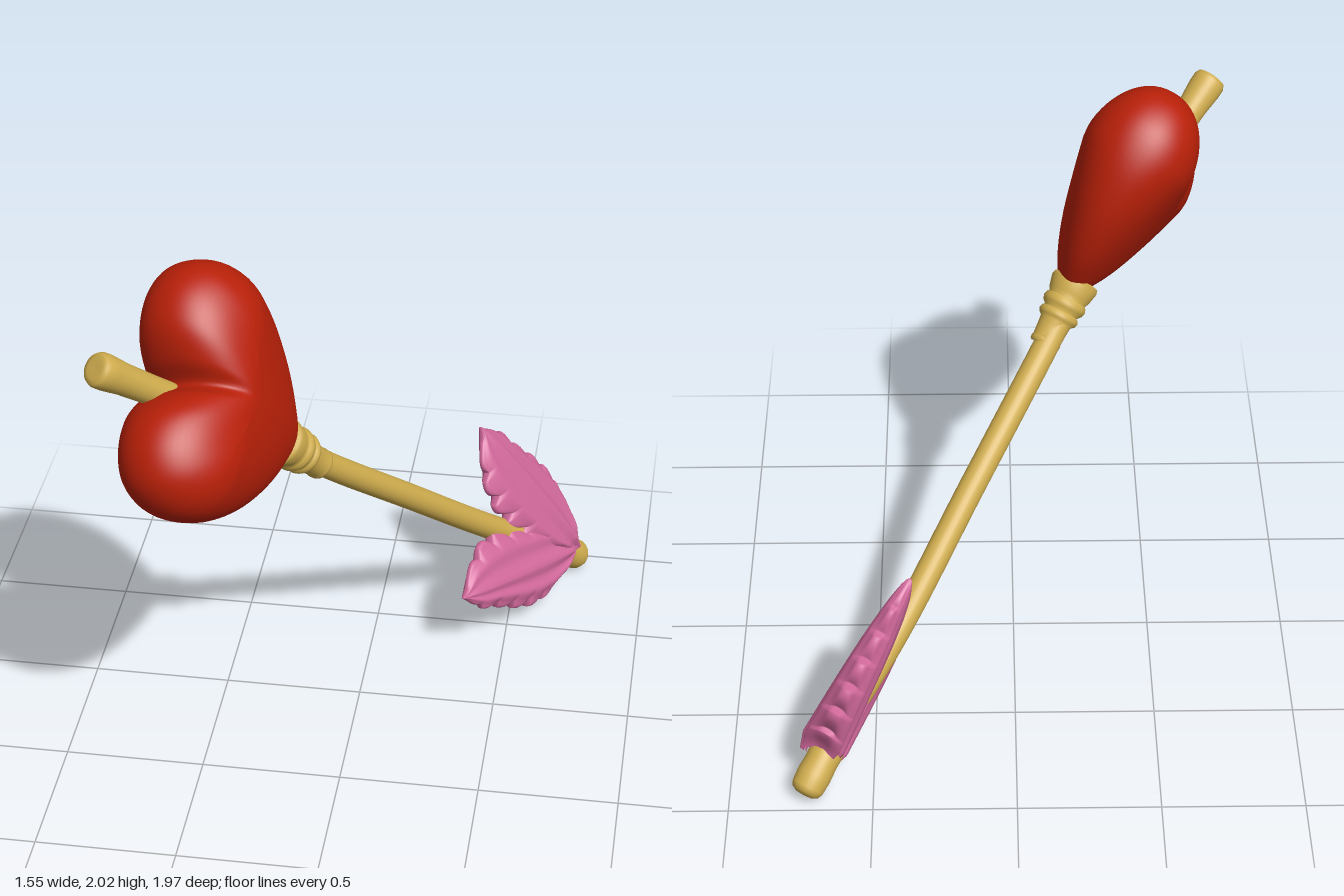
import * as THREE from 'three';
import { mergeVertices } from 'three/addons/utils/BufferGeometryUtils.js';

const V = (x, y, z) => new THREE.Vector3(x, y, z);
const UP = V(0, 1, 0);

// Shared frame: y along the arrow, x across the heart and vanes, z through their thickness
const along = V(-0.5, 0.62, 0.6).normalize();
const normal = V(0.865, 0.357, 0.35);
normal.addScaledVector(along, -normal.dot(along)).normalize();
const across = V().crossVectors(along, normal);
const frame = new THREE.Matrix4().makeBasis(across, along, normal);

// Smooth surface from a grid of points
function gridGeometry(nu, nv, point) {
  const pos = [], index = [];
  for (let i = 0; i <= nu; i++) {
    for (let j = 0; j <= nv; j++) pos.push(...point((i % nu) / nu, j / nv));
  }
  for (let i = 0; i < nu; i++) {
    for (let j = 0; j < nv; j++) {
      const a = i * (nv + 1) + j, b = a + nv + 1;
      index.push(a, b, b + 1, a, b + 1, a + 1);
    }
  }
  let g = new THREE.BufferGeometry();
  g.setAttribute('position', new THREE.Float32BufferAttribute(pos, 3));
  g.setIndex(index);
  g = mergeVertices(g, 1e-5);
  g.computeVertexNormals();
  return g;
}

// Puffy heart, tip at the origin, lobes towards +y; rings shrink to a line joining the lobes
function heartGeometry() {
  const half = [[0.06, 0.67], [0.16, 0.74], [0.28, 0.745], [0.38, 0.69], [0.435, 0.575],
    [0.425, 0.435], [0.35, 0.275], [0.235, 0.135], [0.115, 0.04]];
  const outline = new THREE.CatmullRomCurve3([
    V(0, 0.59, 0),
    ...half.map(([x, y]) => V(-x, y, 0)),
    V(0, -0.01, 0),
    ...half.slice().reverse().map(([x, y]) => V(x, y, 0)),
  ], true);
  const g = gridGeometry(112, 32, (u, v) => {
    const angle = (v - 0.5) * Math.PI;
    const rho = Math.pow(Math.abs(Math.cos(angle)), 0.9);
    const p = outline.getPoint(u);
    const cx = p.x * 0.45;
    p.lerp(V(cx, 0.41 + 0.5 * Math.abs(cx), 0), 1 - rho);
    const thick = 0.205 * Math.min(1, 0.6 + 0.85 * p.y);
    const lift = Math.sign(angle) * Math.pow(Math.abs(Math.sin(angle)), 0.95);
    return [p.x, p.y, thick * lift];
  });
  return g.rotateZ(-0.065);
}

// Toothed, ribbed vane growing along +y and leaning to one side
function vaneGeometry(side, lean) {
  const widthCurve = (list) => new THREE.SplineCurve(list.map((w, i) => new THREE.Vector2(i, w)));
  const outer = widthCurve([0.04, 0.11, 0.148, 0.146, 0.122, 0.09, 0.065, 0]);
  const inner = widthCurve([0.06, 0.13, 0.175, 0.19, 0.2, 0.185, 0.125, 0]);
  const g = gridGeometry(64, 98, (u, a) => {
    const t = u * Math.PI * 2, v = Math.cos(t), s = Math.sin(t);
    const tooth = Math.sin(Math.PI * 0.65 * ((a * 7 + (v > 0 ? 0 : 0.4)) % 1));
    const w = Math.max(0, (v > 0 ? outer : inner).getPoint(a).y);
    const x = w * v * (1 - 0.27 * v ** 4 * (1 - tooth));
    const y = 0.75 * a + 0.05 * v * v * (1 - a);
    const taper = Math.min(1, 0.75 + a * 3) * (1 - 0.5 * a) * Math.sqrt(Math.max(0, 1 - a ** 4));
    const rib = 0.88 + 0.12 * Math.cos(v * 11);
    const z = 0.086 * Math.sign(s) * Math.pow(Math.abs(s), 0.85) * taper * rib;
    return [x * side, y, -z * side];
  });
  return g.rotateZ(-side * lean);
}

export function createModel() {
  const model = new THREE.Group();
  const paint = (name, color) => {
    const m = new THREE.MeshStandardMaterial({ color });
    m.name = name;
    return m;
  };
  const red = paint('heart red', 0xb82008);
  const gold = paint('gold', 0xd0ad4e);
  const pink = paint('vane pink', 0xd0689a);

  const add = (name, geometry, material) => {
    const mesh = new THREE.Mesh(geometry, material);
    mesh.name = name;
    model.add(mesh);
    return mesh;
  };

  // Turned part between two points; profile is [radius, fraction of length]
  const turned = (name, from, to, profile) => {
    const dir = to.clone().sub(from), length = dir.length();
    const pts = profile.map(([r, f]) => new THREE.Vector2(r, f * length));
    const mesh = add(name, new THREE.LatheGeometry(pts, 32), gold);
    mesh.quaternion.setFromUnitVectors(UP, dir.normalize());
    mesh.position.copy(from);
  };

  // Part laid out in the shared frame
  const framed = (name, geometry, material, at) => {
    const mesh = add(name, geometry, material);
    mesh.quaternion.setFromRotationMatrix(frame);
    mesh.position.copy(at);
  };

  // Shaft, very slightly bent
  const path = new THREE.CatmullRomCurve3([
    V(0.69, 0.12, -0.87), V(0.42, 0.42, -0.55), V(0.155, 0.775, -0.19),
    V(-0.11, 1.13, 0.165), V(-0.21, 1.28, 0.29),
  ]);
  add('shaft', new THREE.TubeGeometry(path, 48, 0.047, 24), gold);

  // Blunt end behind the vanes
  turned('nock', V(0.735, 0.042, -0.948), V(0.63, 0.18, -0.81), [
    [0, -0.06], [0.03, -0.05], [0.05, 0], [0.058, 0.08], [0.061, 0.3],
    [0.058, 0.55], [0.06, 0.7], [0.054, 0.9], [0.04, 1],
  ]);

  // Ringed collar holding the heart
  turned('collar', V(-0.11, 1.135, 0.185), V(-0.23, 1.32, 0.33), [
    [0.047, 0], [0.055, 0.02], [0.056, 0.07], [0.053, 0.1], [0.058, 0.36],
    [0.07, 0.4], [0.075, 0.45], [0.07, 0.5], [0.063, 0.52],
    [0.076, 0.57], [0.081, 0.63], [0.076, 0.69], [0.07, 0.71],
    [0.078, 0.77], [0.088, 0.93], [0.084, 0.99], [0.05, 1.02], [0, 1.02],
  ]);

  // Shaft end coming out between the lobes
  turned('shaftTip', V(-0.45, 1.56, 0.55), V(-0.725, 1.86, 0.827), [
    [0.048, 0], [0.05, 0.5], [0.053, 0.75], [0.06, 0.9], [0.06, 0.97],
    [0.053, 1], [0.035, 1.01], [0, 1.005],
  ]);

  framed('heart', heartGeometry(), red, V(-0.2, 1.306, 0.3));

  // Pair of vanes wrapping the shaft
  const base = V(0.68, 0.125, -0.875);
  for (const side of [-1, 1]) {
    const upper = side > 0;
    const at = base.clone().addScaledVector(normal, upper ? 0.02 : 0.012);
    framed(upper ? 'upperVane' : 'lowerVane', vaneGeometry(side, upper ? 0.44 : 0.47), pink, at);
  }
  return model;
}
